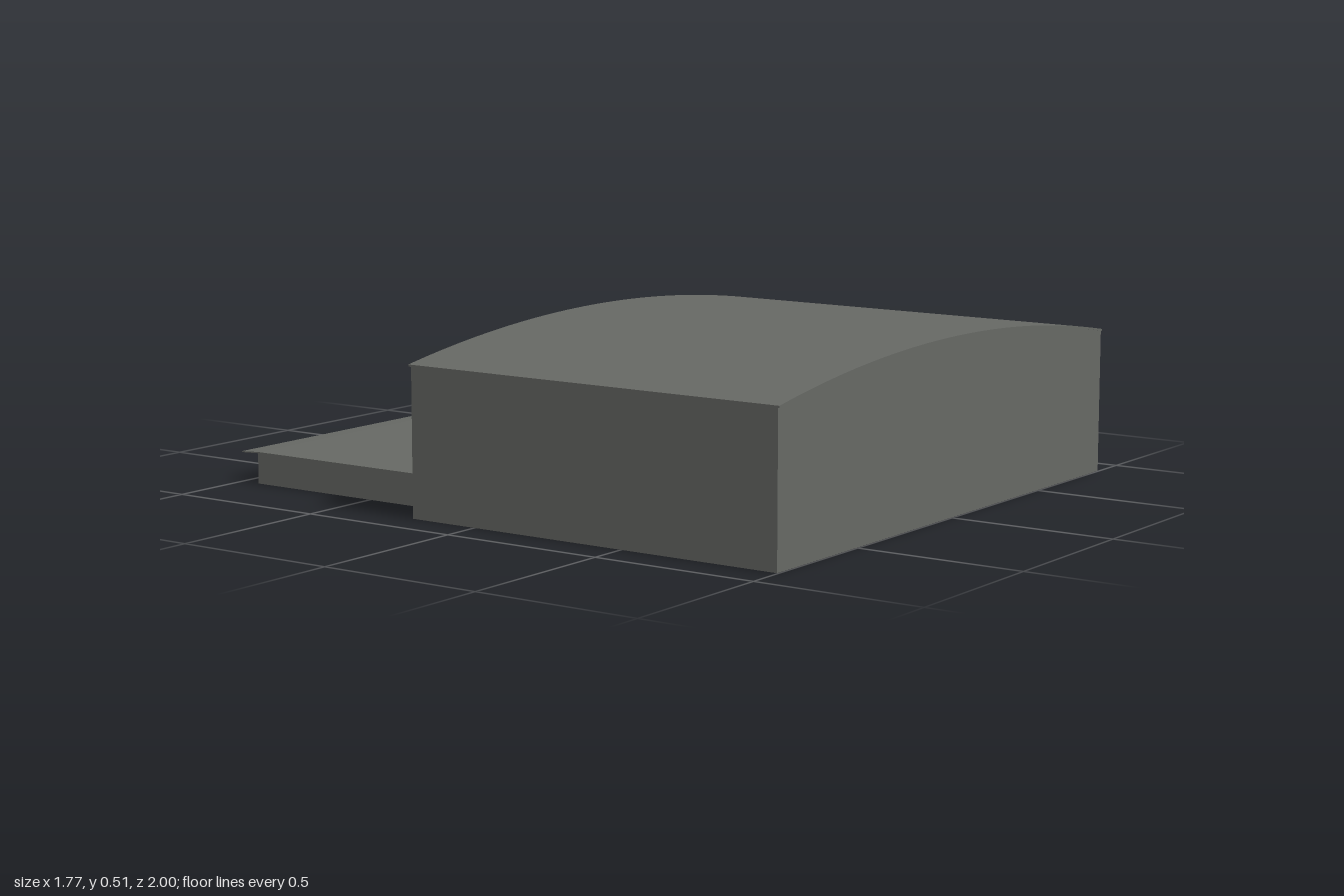
import * as THREE from 'three';
import { toCreasedNormals } from 'three/addons/utils/BufferGeometryUtils.js';

const HALF = 0.885, EAVE = 0.435, PEAK = 0.513, BACK = -0.22;
const RISE = PEAK - EAVE;
const R = (HALF * HALF + RISE * RISE) / (2 * RISE);
const archY = (x) => PEAK - R + Math.sqrt(R * R - x * x);

// Arched outline closed by a lower edge: flat floor or a parallel arch
function archShape(drop, floor) {
  const n = 24, pts = [];
  for (let i = 0; i <= n; i++) {
    const x = HALF - (2 * HALF * i) / n;
    pts.push(new THREE.Vector2(x, archY(x) - drop));
  }
  if (floor !== null) {
    pts.push(new THREE.Vector2(-HALF, floor), new THREE.Vector2(HALF, floor));
  } else {
    for (let i = 0; i <= n; i++) {
      const x = -HALF + (2 * HALF * i) / n;
      pts.push(new THREE.Vector2(x, archY(x) - drop - 0.006));
    }
  }
  return new THREE.Shape(pts);
}

function extrude(shape, z0, z1) {
  const g = new THREE.ExtrudeGeometry(shape, { depth: z1 - z0, bevelEnabled: false });
  g.translate(0, 0, z0);
  return toCreasedNormals(g, 0.35);
}

export function createModel() {
  const model = new THREE.Group();
  model.name = 'hangar';
  const grey = new THREE.MeshStandardMaterial({ color: 0x666864 });
  grey.name = 'concrete grey';
  const yellow = new THREE.MeshStandardMaterial({ color: 0xb08a2a });
  yellow.name = 'marking yellow';

  const add = (name, geometry, material = grey) => {
    const mesh = new THREE.Mesh(geometry, material);
    mesh.name = name;
    model.add(mesh);
    return mesh;
  };
  const box = (name, x0, x1, y0, y1, z0, z1, material) =>
    add(name, new THREE.BoxGeometry(x1 - x0, y1 - y0, z1 - z0), material)
      .position.set((x0 + x1) / 2, (y0 + y1) / 2, (z0 + z1) / 2);

  // Hall with a thin arched roof that projects at both ends
  add('hall', extrude(archShape(0.006, 0), BACK, 0.996));
  add('roof', extrude(archShape(0, null), -0.23, 1));

  // Raised apron with a thin sloping lip
  box('apron', -0.745, 0.745, 0, 0.095, -0.935, BACK);
  const lip = new THREE.Shape([
    new THREE.Vector2(0.935, 0.095), new THREE.Vector2(0.935, 0.091),
    new THREE.Vector2(1, 0.088), new THREE.Vector2(1, 0.091),
  ]);
  const lipGeometry = new THREE.ExtrudeGeometry(lip, { depth: 1.49, bevelEnabled: false });
  lipGeometry.rotateY(Math.PI / 2).translate(-0.745, 0, 0);
  add('apronLip', lipGeometry);

  // Sliding doors, stepping outwards towards the middle
  for (const s of [-1, 1]) {
    const panel = (name, a, b, z0, z1) =>
      box(name, Math.min(s * a, s * b), Math.max(s * a, s * b), 0.095, 0.365, z0, z1);
    panel('outerDoor', 0.44, 0.66, -0.23, BACK);
    panel('middleDoor', 0.22, 0.44, -0.24, -0.232);
    panel('centreDoor', 0, 0.22, -0.25, -0.242);
    // Floor rail mark below the outer door
    box('railMark', s > 0 ? 0.46 : -0.64, s > 0 ? 0.64 : -0.46, 0.095, 0.099, -0.232, -0.229, yellow);
  }

  // Head rail, lamp and guide line
  box('headRail', -0.66, 0.66, 0.365, 0.37, -0.229, BACK);
  box('lamp', -0.022, 0.022, 0.375, 0.387, -0.229, BACK);
  box('guideLine', -0.004, 0.004, 0.094, 0.0965, -0.92, -0.25, yellow);

  return model;
}
